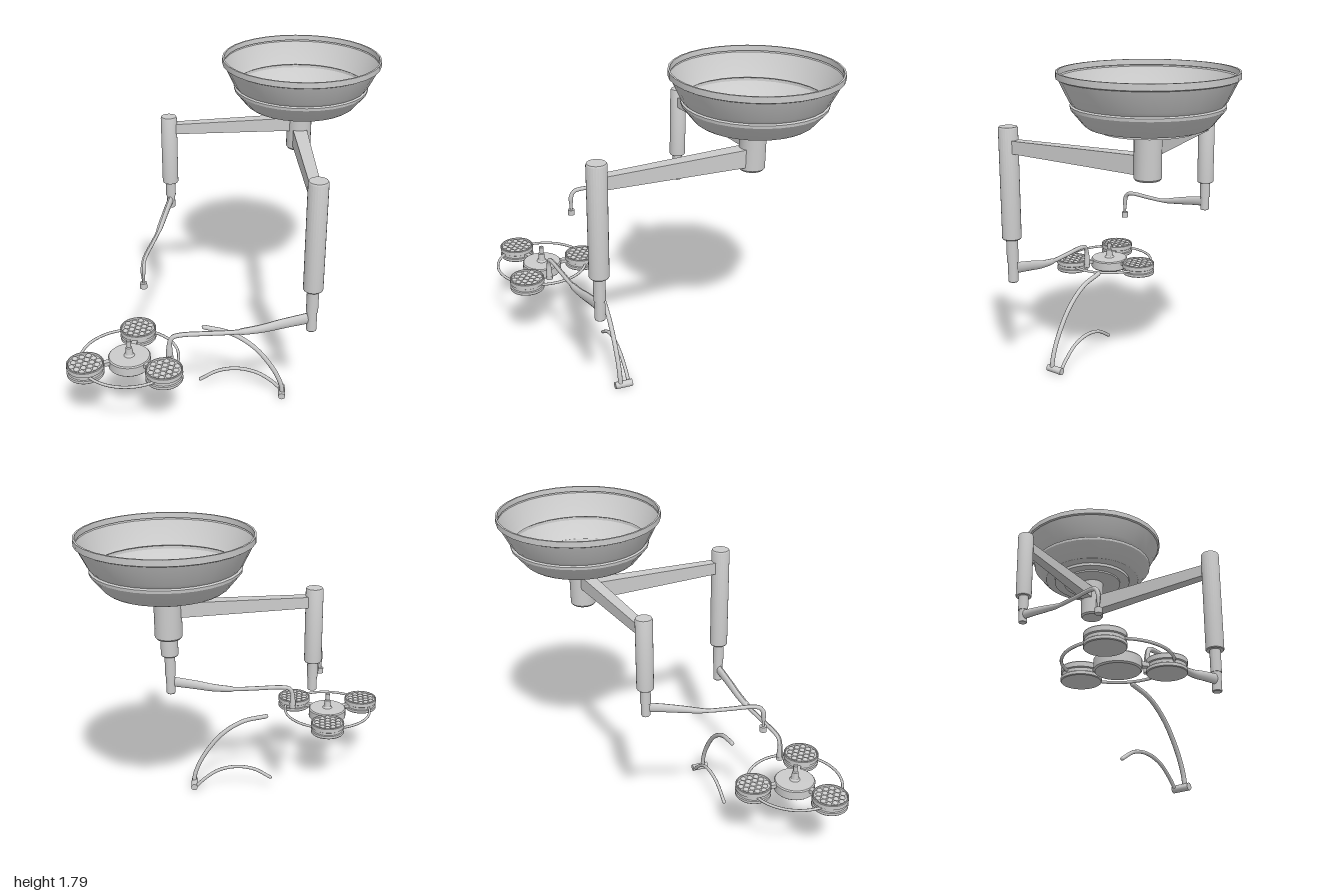
import * as THREE from 'three';
import { toCreasedNormals } from 'three/addons/utils/BufferGeometryUtils.js';

const grey = new THREE.MeshStandardMaterial({ color: 0xcccccc, side: THREE.DoubleSide });
const V = (x, y, z) => new THREE.Vector3(x, y, z);

function add(parent, name, geometry, x = 0, y = 0, z = 0) {
  const mesh = new THREE.Mesh(geometry, grey);
  mesh.name = name;
  mesh.position.set(x, y, z);
  parent.add(mesh);
  return mesh;
}

// Revolved profile of [radius, height] pairs with crisp edges
function lathe(profile, segments = 32) {
  const pts = profile.map(([r, y]) => new THREE.Vector2(r, y));
  return toCreasedNormals(new THREE.LatheGeometry(pts, segments), 0.5);
}

// Rectangular beam that tapers from section [w, h] at a to section [w, h] at b
function beam(a, b, [w0, h0], [w1, h1]) {
  const g = new THREE.BoxGeometry(1, 1, a.distanceTo(b));
  const p = g.attributes.position;
  for (let i = 0; i < p.count; i++) {
    const atEnd = p.getZ(i) > 0;
    p.setX(i, p.getX(i) * (atEnd ? w1 : w0));
    p.setY(i, p.getY(i) * (atEnd ? h1 : h0));
  }
  const frame = new THREE.Object3D();
  frame.position.copy(a).lerp(b, 0.5);
  frame.lookAt(b);
  frame.updateMatrix();
  g.applyMatrix4(frame.matrix);
  g.computeVertexNormals();
  return g;
}

// Interpolates a list of [u, value] keys
function keyed(keys, u) {
  for (let i = 1; i < keys.length; i++) {
    const [u0, v0] = keys[i - 1], [u1, v1] = keys[i];
    if (u <= u1) return v0 + (v1 - v0) * (u - u0) / (u1 - u0);
  }
  return keys[keys.length - 1][1];
}

// Tube of changing radius; its sideways width is capped so thick parts become tall ovals
function sweptArm(points, keys, maxWidth) {
  const path = new THREE.CatmullRomCurve3(points, false, 'centripetal');
  const rings = 60, sides = 12;
  const g = new THREE.TubeGeometry(path, rings, 1, sides);
  const p = g.attributes.position;
  for (let i = 0; i < p.count; i++) {
    const u = Math.floor(i / (sides + 1)) / rings;
    const c = path.getPointAt(u);
    const h = keyed(keys, u), w = Math.min(h, maxWidth);
    p.setXYZ(i, c.x + (p.getX(i) - c.x) * w, c.y + (p.getY(i) - c.y) * h, c.z + (p.getZ(i) - c.z) * w);
  }
  g.computeVertexNormals();
  return g;
}

// Path points from [t along a-b on plan, height]
const planPath = (a, b, list) =>
  list.map(([t, y]) => V(a[0] + (b[0] - a[0]) * t, y, a[1] + (b[1] - a[1]) * t));

function post(parent, name, [x, z], r, top, mid, low, base, rMid, rLow) {
  add(parent, name, lathe([
    [0, top], [r * 0.92, top], [r, top - 0.008], [r, mid + 0.005], [r * 0.93, mid], [rMid, mid],
    [rMid, low], [rLow, low], [rLow, base + 0.004], [rLow * 0.9, base], [0, base],
  ], 24), x, 0, z);
}

function lampHead(x, z) {
  const head = new THREE.Group();
  head.name = 'lampHead';
  head.position.set(x, 0, z);
  // Two stacked rims with a groove, recessed on top
  add(head, 'lampHousing', lathe([
    [0, 0.375], [0.097, 0.375], [0.1, 0.379], [0.1, 0.394], [0.094, 0.398], [0.094, 0.413],
    [0.1, 0.417], [0.1, 0.441], [0.097, 0.445], [0.092, 0.445], [0.09, 0.436], [0, 0.436],
  ]));
  // Hexagonal cluster of bulbs
  const bulb = new THREE.SphereGeometry(0.016, 12, 6, 0, Math.PI * 2, 0, Math.PI / 2);
  for (let row = -2; row <= 2; row++) {
    const n = 5 - Math.abs(row);
    for (let i = 0; i < n; i++) {
      add(head, 'bulb', bulb, (i - (n - 1) / 2) * 0.037, 0.436, row * 0.032).scale.y = 0.7;
    }
  }
  return head;
}

export function createModel() {
  const model = new THREE.Group();
  model.name = 'surgicalLamp';
  const hub = [0.56, -0.21], frontPost = [0.253, 0.592], backPost = [-0.155, -0.418];

  // Open ceiling cover with stepped floor
  add(model, 'ceilingCover', lathe([
    [0.07, 1.497], [0.18, 1.497], [0.18, 1.507], [0.24, 1.507], [0.24, 1.525], [0.295, 1.527],
    [0.31, 1.538], [0.373, 1.615], [0.375, 1.63], [0.365, 1.636], [0.38, 1.655],
    [0.43, 1.757], [0.44, 1.762], [0.44, 1.793], [0.43, 1.793], [0.428, 1.765],
  ]), hub[0], 0, hub[1]);
  add(model, 'hubColumn', lathe([
    [0.07, 1.5], [0.07, 1.27], [0.062, 1.26], [0, 1.26],
  ], 24), hub[0], 0, hub[1]);

  // Two horizontal beams and their hanging posts
  add(model, 'frontBeam', beam(V(hub[0], 1.335, hub[1]), V(frontPost[0], 1.332, frontPost[1]), [0.08, 0.1], [0.055, 0.068]));
  add(model, 'backBeam', beam(V(hub[0], 1.412, hub[1]), V(backPost[0], 1.41, backPost[1]), [0.07, 0.078], [0.05, 0.056]));
  post(model, 'frontPost', frontPost, 0.053, 1.437, 0.815, 0.68, 0.565, 0.032, 0.028);
  post(model, 'backPost', backPost, 0.045, 1.48, 1.08, 0.995, 0.92, 0.028, 0.024);

  // Spring arms curving down to their ends
  add(model, 'frontSpringArm', sweptArm(
    planPath(frontPost, [-0.462, 0.342], [
      [0, 0.642], [0.21, 0.608], [0.35, 0.583], [0.52, 0.567], [0.7, 0.565], [0.92, 0.562],
      [0.975, 0.55], [0.995, 0.52], [1, 0.48], [1, 0.425]]),
    [[0, 0.033], [0.22, 0.028], [0.43, 0.018], [0.45, 0.013], [0.9, 0.013], [0.95, 0.017], [1, 0.02]], 0.019));
  add(model, 'backSpringArm', sweptArm(
    planPath(backPost, [-0.515, 0.11], [
      [0, 0.968], [0.15, 0.952], [0.32, 0.93], [0.5, 0.908], [0.7, 0.904], [0.9, 0.902],
      [0.965, 0.89], [0.995, 0.86], [1, 0.82], [1, 0.765]]),
    [[0, 0.028], [0.25, 0.021], [0.4, 0.014], [0.44, 0.011], [0.85, 0.012], [0.9, 0.014], [0.96, 0.008], [1, 0.008]], 0.016));
  add(model, 'backArmEnd', toCreasedNormals(new THREE.CylinderGeometry(0.02, 0.02, 0.032, 12), 0.6), -0.515, 0.757, 0.11);
  add(model, 'frontArmEnd', toCreasedNormals(new THREE.CylinderGeometry(0.02, 0.02, 0.02, 12), 0.6), -0.462, 0.428, 0.342);

  // Lamp: ring, central disc with handle, three heads on spokes
  const lamp = new THREE.Group();
  lamp.name = 'lamp';
  lamp.position.set(-0.655, 0, 0.24);
  model.add(lamp);
  add(lamp, 'lampRing', new THREE.TorusGeometry(0.265, 0.008, 8, 64).rotateX(Math.PI / 2), 0, 0.41, 0);
  add(lamp, 'centralDisc', lathe([
    [0, 0.36], [0.108, 0.36], [0.115, 0.367], [0.115, 0.417], [0.109, 0.424], [0, 0.426],
  ]));
  add(lamp, 'handle', lathe([
    [0.03, 0.425], [0.022, 0.435], [0.017, 0.475], [0.012, 0.48], [0.014, 0.518], [0.01, 0.522], [0, 0.522],
  ], 16));
  for (let i = 0; i < 3; i++) {
    const a = Math.PI / 3 + i * Math.PI * 2 / 3;
    const c = Math.cos(a), s = Math.sin(a);
    lamp.add(lampHead(0.244 * c, 0.244 * s));
    add(lamp, 'spoke', beam(V(0.1 * c, 0.408, 0.1 * s), V(0.16 * c, 0.408, 0.16 * s), [0.03, 0.022], [0.03, 0.022]));
  }

  // Pair of curved bars joined by a short pivot
  const bars = {
    largeCurvedBar: [0.013, [V(0.195, 0.025, 0.4), V(0.185, 0.09, 0.395), V(0.14, 0.2, 0.375), V(0.04, 0.345, 0.33), V(-0.08, 0.435, 0.275), V(-0.21, 0.47, 0.213)]],
    smallCurvedBar: [0.01, [V(0.2, 0.025, 0.343), V(0.16, 0.07, 0.325), V(0.08, 0.13, 0.29), V(-0.02, 0.155, 0.243), V(-0.12, 0.137, 0.197), V(-0.212, 0.077, 0.155)]],
  };
  for (const [name, [r, pts]] of Object.entries(bars)) {
    add(model, name, new THREE.TubeGeometry(new THREE.CatmullRomCurve3(pts), 40, r, 10));
    const end = pts[pts.length - 1];
    add(model, name + 'Tip', new THREE.SphereGeometry(r, 10, 8), end.x, end.y, end.z);
  }
  const pivot = add(model, 'barPivot', toCreasedNormals(new THREE.CylinderGeometry(0.02, 0.02, 0.1, 16), 0.6), 0.2, 0.022, 0.38);
  pivot.quaternion.setFromUnitVectors(V(0, 1, 0), V(0.04, 0, -0.085).normalize());
  return model;
}
